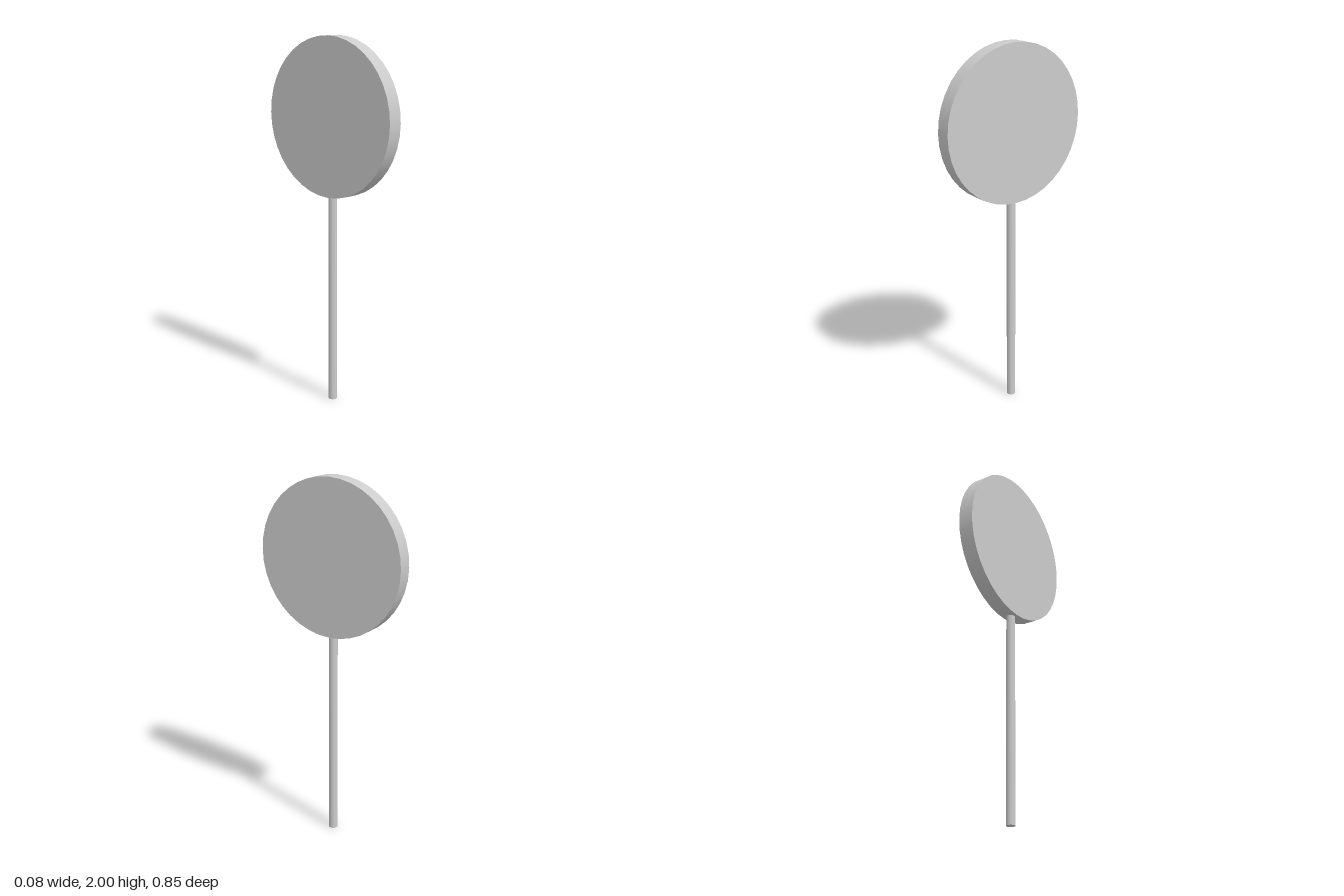
import * as THREE from 'three';

export function createModel() {
  const model = new THREE.Group();
  const material = new THREE.MeshStandardMaterial({ color: 0xcccccc });

  const discRadius = 0.424;
  const discThickness = 0.084;
  const discCentre = 2 - discRadius;
  const stickRadius = 0.024;
  const stickHeight = 1.17; // runs slightly into the rim of the disc

  // Round flat head, its faces pointing to the sides
  const disc = new THREE.Mesh(
    new THREE.CylinderGeometry(discRadius, discRadius, discThickness, 40).rotateZ(Math.PI / 2),
    material
  );
  disc.name = 'disc';
  disc.position.y = discCentre;
  model.add(disc);

  // Slim upright stick
  const stick = new THREE.Mesh(
    new THREE.CylinderGeometry(stickRadius, stickRadius, stickHeight, 24),
    material
  );
  stick.name = 'stick';
  stick.position.y = stickHeight / 2;
  model.add(stick);

  return model;
}
